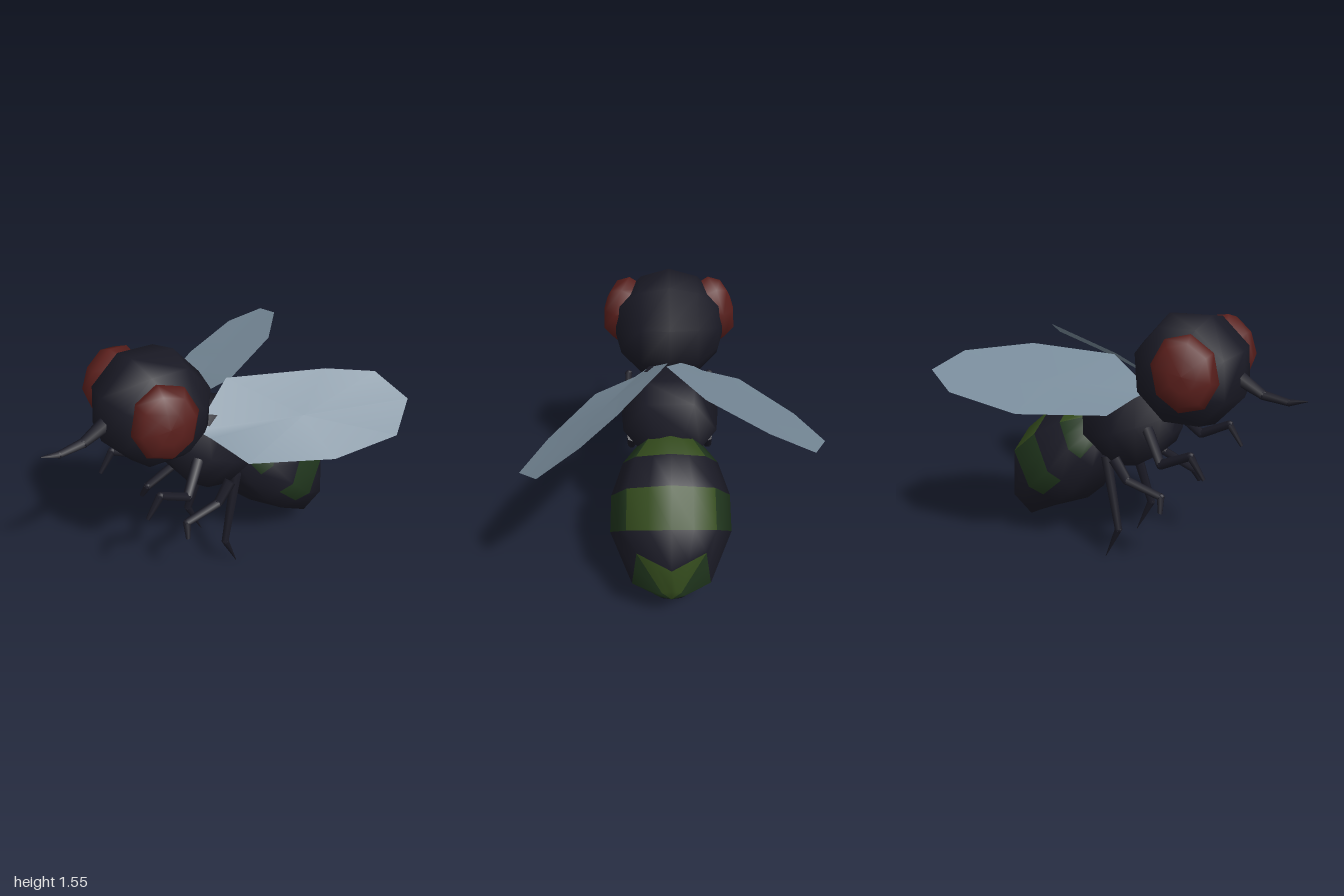
import * as THREE from 'three';
import { mergeVertices } from 'three/addons/utils/BufferGeometryUtils.js';

const mat = (name, color, side = THREE.FrontSide) => {
  const m = new THREE.MeshStandardMaterial({ color, side });
  m.name = name;
  return m;
};

export function createModel() {
  const model = new THREE.Group();
  model.name = 'fly';
  const dark = mat('dark body', 0x1a1a25);
  const topGreen = mat('stripe green', 0x334a1c);
  const sideGreen = mat('deep green', 0x1f341c);
  const red = mat('eye red', 0x581e1b);
  const wingGrey = mat('wing grey', 0x778a99, THREE.DoubleSide);

  const add = (name, geometry, material, parent = model) => {
    const mesh = new THREE.Mesh(geometry, material);
    mesh.name = name;
    parent.add(mesh);
    return mesh;
  };
  const profile = (pts) => pts.map(([r, s]) => new THREE.Vector2(r, s));

  // Head: low-poly ball with its poles on the left and right
  const headGeo = new THREE.SphereGeometry(0.33, 8, 6).rotateZ(Math.PI / 2).rotateX(Math.PI / 8);
  const head = add('head', headGeo, dark);
  head.position.set(0, 1.244, 0.345);
  head.rotation.x = -0.07;

  // Eyes: eight-sided domes hugging the sides of the head
  for (const side of [1, -1]) {
    const eyeGeo = new THREE.LatheGeometry(
      profile([[0.84, -0.13], [1, -0.01], [0.8, 0.06], [0.4, 0.088], [0, 0.095]]), 8, Math.PI / 8);
    eyeGeo.rotateZ(-side * Math.PI / 2);
    const eye = add(side > 0 ? 'leftEye' : 'rightEye', eyeGeo, red);
    eye.scale.set(1, 0.21, 0.18);
    eye.position.set(side * 0.28, 1.31, 0.435);
    eye.rotation.set(-0.25, side * -0.33, side * 0.1);
  }

  // Thorax: six-sided with a flat underside, tilted down towards the back
  const thoraxGeo = new THREE.LatheGeometry(profile([
    [0, -0.31], [0.17, -0.27], [0.265, -0.14], [0.28, 0.02], [0.24, 0.16], [0.13, 0.27], [0, 0.3],
  ]), 6, Math.PI / 6);
  const thorax = add('thorax', thoraxGeo, dark);
  thorax.position.set(0, 0.873, -0.03);
  thorax.rotation.x = Math.PI / 2 - 0.35;

  // Abdomen: eight-sided, each side halved so the stripes can stop midway
  const rings = [[0, -0.47], [0.14, -0.425], [0.235, -0.295], [0.293, -0.116],
    [0.296, 0.085], [0.188, 0.364], [0.065, 0.43], [0, 0.45]];
  const count = rings.length;
  const latheGeo = new THREE.LatheGeometry(profile(rings), 16);
  const pos = latheGeo.attributes.position;
  const WIDEST = 4;
  const TIP = 5;
  for (let i = 0; i <= 16; i += 2) {
    for (let j = WIDEST - 1; j < count; j++) {
      const v = i * count + j;
      if (j <= WIDEST) {
        // The widest rings sag at the sides, and the rear one leans back
        const z = pos.getZ(v);
        if (j === WIDEST) pos.setY(v, pos.getY(v) + 0.1 * z);
        if (i % 8 === 4) pos.setZ(v, z - 0.03);
        continue;
      }
      // The tip slants, and its corners are pulled forward and outward
      const corner = j === TIP && i % 4 === 2;
      const grow = corner ? 1.22 : 1;
      const z = pos.getZ(v) * grow;
      const pull = corner ? 0.07 + 0.2 * z : 0;
      pos.setXYZ(v, pos.getX(v) * grow, pos.getY(v) - 0.26 * z - pull, z);
    }
  }
  const a = new THREE.Vector3();
  const b = new THREE.Vector3();
  for (let i = 1; i < 16; i += 2) {
    for (let j = 0; j < count; j++) {
      a.fromBufferAttribute(pos, (i - 1) * count + j);
      b.fromBufferAttribute(pos, (i + 1) * count + j);
      a.add(b).multiplyScalar(0.5);
      pos.setXYZ(i * count + j, a.x, a.y, a.z);
    }
  }
  latheGeo.deleteAttribute('uv');
  latheGeo.deleteAttribute('normal');
  const bellyGeo = mergeVertices(latheGeo);
  bellyGeo.computeVertexNormals();
  // Stripes: bright over the back, deep on the sides, none underneath
  const bands = count - 1;
  bellyGeo.clearGroups();
  for (let i = 0; i < 16; i++) {
    const fromTop = Math.min(i, 15 - i);
    for (let j = 0; j < bands; j++) {
      const striped = [1, 3, 5, 6].includes(j);
      const material = !striped || fromTop > 4 ? 0 : fromTop < 2 ? 1 : 2;
      bellyGeo.addGroup((i * bands + j) * 6, 6, material);
    }
  }
  const abdomen = add('abdomen', bellyGeo, [dark, topGreen, sideGreen]);
  abdomen.scale.x = 1.13;
  abdomen.position.set(0, 0.51, -0.535);
  abdomen.rotation.x = -2.321;

  // Jointed limb made of tapering six-sided segments with rounded joints
  const limb = (name, points, radii, side = 1) => {
    const group = new THREE.Group();
    group.name = name;
    const pts = points.map(([x, y, z]) => new THREE.Vector3(x * side, y, z));
    for (let i = 0; i + 1 < pts.length; i++) {
      const dir = pts[i + 1].clone().sub(pts[i]);
      const geo = new THREE.CylinderGeometry(radii[i + 1], radii[i], dir.length(), 6);
      const part = add('segment' + (i + 1), geo, dark, group);
      part.position.copy(pts[i]).add(pts[i + 1]).multiplyScalar(0.5);
      part.quaternion.setFromUnitVectors(new THREE.Vector3(0, 1, 0), dir.normalize());
      if (i > 0) add('joint' + i, new THREE.SphereGeometry(radii[i], 6, 4), dark, group).position.copy(pts[i]);
    }
    model.add(group);
  };

  // Proboscis
  limb('proboscis', [[0, 1.25, 0.6], [0, 1.17, 0.76], [0, 1.155, 0.9], [0, 1.18, 1]],
    [0.048, 0.028, 0.02, 0.003]);

  // Three pairs of legs
  for (const side of [1, -1]) {
    const label = side > 0 ? 'left' : 'right';
    limb(label + 'FrontLeg', [[0.17, 0.91, 0.16], [0.25, 0.755, 0.29], [0.255, 0.85, 0.47], [0.255, 0.73, 0.555]],
      [0.035, 0.028, 0.024, 0.012], side);
    limb(label + 'MiddleLeg', [[0.22, 0.7, -0.03], [0.23, 0.59, 0.06], [0.21, 0.53, 0.27], [0.25, 0.445, 0.29]],
      [0.035, 0.028, 0.024, 0.014], side);
    limb(label + 'HindLeg', [[0.15, 0.67, -0.13], [0.2, 0.23, -0.02], [0.19, 0.005, -0.12]],
      [0.035, 0.024, 0.002], side);
  }

  // Wings: thin outlines fanned from their middle
  const wing = (name, outline) => {
    const n = outline.length;
    const mid = [0, 1, 2].map((k) => outline.reduce((sum, p) => sum + p[k], 0) / n);
    const geo = new THREE.BufferGeometry();
    geo.setAttribute('position', new THREE.Float32BufferAttribute([mid, ...outline].flat(), 3));
    geo.setIndex(outline.flatMap((_, i) => [0, i + 1, ((i + 1) % n) + 1]));
    geo.computeVertexNormals();
    add(name, geo, wingGrey);
  };
  wing('leftWing', [[0.12, 1.07, 0.14], [0.2, 1.035, 0.09], [0.43, 0.967, 0.01], [0.65, 0.945, -0.42],
    [0.74, 1.0, -0.8], [0.62, 1.11, -1], [0.42, 1.225, -0.92], [0.26, 1.25, -0.68], [0.01, 1.25, -0.15]]);
  // The right wing is raised a little higher; its outline is reversed so it faces upward
  wing('rightWing', [[-0.09, 1.11, 0.13], [-0.19, 1.08, 0.08], [-0.4, 1.045, 0.04], [-0.655, 1.06, -0.37],
    [-0.74, 1.14, -0.75], [-0.655, 1.21, -0.95], [-0.445, 1.275, -0.89], [-0.17, 1.29, -0.61],
    [0.02, 1.24, -0.17]].reverse());

  return model;
}
